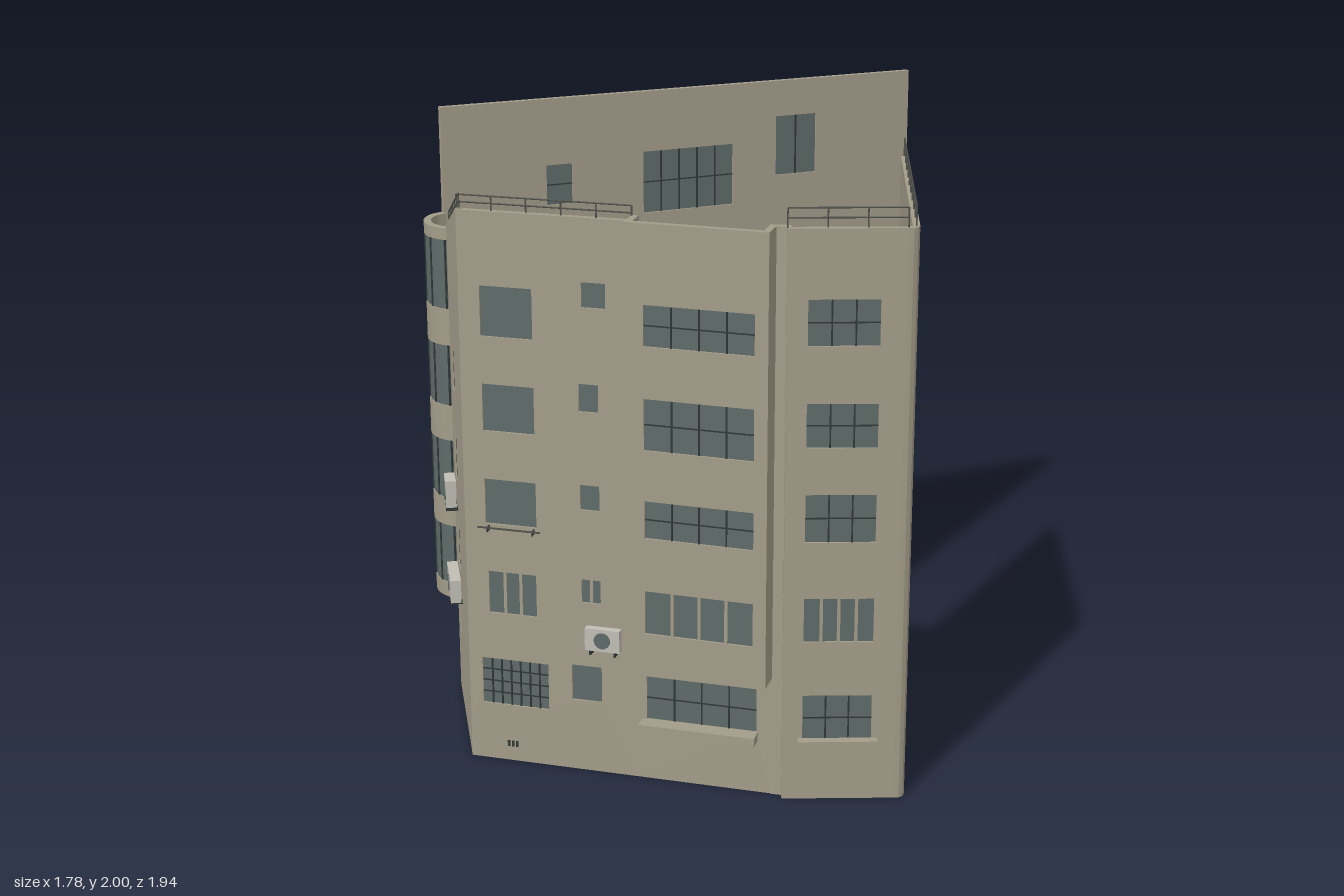
import * as THREE from 'three';

const mat = (name, color, side = THREE.FrontSide) => {
  const m = new THREE.MeshStandardMaterial({ color, side });
  m.name = name;
  return m;
};

export function createModel() {
  const M = {
    wall: mat('plaster', 0xa39c89),
    glass: mat('window glass', 0x5e6b69, THREE.DoubleSide),
    frame: mat('dark frame', 0x2f3737),
    metal: mat('railing metal', 0x50504c),
    unit: mat('unit casing', 0xc0beb4),
  };
  const root = new THREE.Group();
  root.name = 'building';
  const T = 0.022; // wall thickness

  const add = (parent, geo, m, name) => {
    const o = new THREE.Mesh(geo, m);
    o.name = name;
    parent.add(o);
    return o;
  };
  const box = (parent, m, name, x0, x1, y0, y1, z0, z1) => {
    const o = add(parent, new THREE.BoxGeometry(x1 - x0, y1 - y0, z1 - z0), m, name);
    o.position.set((x0 + x1) / 2, (y0 + y1) / 2, (z0 + z1) / 2);
    return o;
  };
  const bar = (parent, a, b, r, m, name) => {
    const d = new THREE.Vector3().subVectors(b, a);
    const o = add(parent, new THREE.CylinderGeometry(r, r, d.length(), 6), m, name);
    o.position.copy(a).addScaledVector(d, 0.5);
    o.quaternion.setFromUnitVectors(new THREE.Vector3(0, 1, 0), d.normalize());
  };

  // Wall from plan point p to q; local x runs along it, local +z points outdoors.
  // Windows: [a0, a1, y0, y1, columns, rows, wide], a measured on the given plan axis.
  function wall(name, p, q, { y0 = 0, top = 1.85, topEnd = top, windows = [], axis = 0 } = {}) {
    const g = new THREE.Group();
    g.name = name;
    const dx = q[0] - p[0], dz = q[1] - p[1], L = Math.hypot(dx, dz);
    g.position.set(p[0], 0, p[1]);
    g.rotation.y = Math.atan2(-dz, dx);
    root.add(g);
    const at = a => (a - p[axis]) / (q[axis] - p[axis]) * L;
    const shape = new THREE.Shape([[0, y0], [L, y0], [L, topEnd], [0, top]].map(v => new THREE.Vector2(...v)));
    for (const [a0, a1, b0, b1, cols = 1, rows = 1, wide = false] of windows) {
      const s0 = Math.min(at(a0), at(a1)), s1 = Math.max(at(a0), at(a1));
      shape.holes.push(new THREE.Path([[s0, b0], [s0, b1], [s1, b1], [s1, b0]].map(v => new THREE.Vector2(...v))));
      box(g, M.glass, 'windowPane', s0, s1, b0, b1, -T * 0.5 - 0.004, -T * 0.5 + 0.004);
      const w = wide ? 0.005 : 0.0025, m = wide ? M.wall : M.frame;
      for (let i = 1; i < cols; i++) {
        const s = s0 + (s1 - s0) * i / cols;
        box(g, m, 'mullion', s - w, s + w, b0, b1, -T + 0.003, -0.003);
      }
      for (let i = 1; i < rows; i++) {
        const y = b0 + (b1 - b0) * i / rows;
        box(g, m, 'transom', s0, s1, y - 0.002, y + 0.002, -T + 0.004, -0.004);
      }
    }
    const geo = new THREE.ExtrudeGeometry(shape, { depth: T, bevelEnabled: false });
    geo.translate(0, 0, -T);
    add(g, geo, M.wall, name + 'Panel');
    return { g, at, L, top, topEnd };
  }

  // Railing that follows the top edge of a wall
  function railing({ g, L, top, topEnd }, h = 0.055) {
    const pt = (t, dy) => new THREE.Vector3(L * t, top + (topEnd - top) * t + dy, -T / 2);
    const n = Math.max(2, Math.round(L / 0.11));
    for (let i = 0; i <= n; i++) bar(g, pt(i / n, 0), pt(i / n, h), 0.0025, M.metal, 'railingPost');
    for (const k of [0.5, 1]) bar(g, pt(0, h * k), pt(1, h * k), 0.0025, M.metal, 'railingBar');
  }

  // Outdoor air unit with round fan and two brackets
  function airUnit({ g }, s, y0, y1, len, depth) {
    box(g, M.unit, 'airUnit', s - len / 2, s + len / 2, y0, y1, 0.005, depth);
    const fan = add(g, new THREE.CylinderGeometry((y1 - y0) * 0.36, (y1 - y0) * 0.36, 0.004, 20), M.glass, 'airUnitFan');
    fan.rotation.x = Math.PI / 2;
    fan.position.set(s, (y0 + y1) / 2, depth + 0.001);
    for (const k of [-0.35, 0.35])
      box(g, M.frame, 'airUnitBracket', s + len * k - 0.003, s + len * k + 0.003, y0 - 0.015, y0, 0, depth);
  }

  // Tall rear wall
  const rear = wall('rearWall', [0.5, -0.97], [-0.84, 0.126], {
    top: 2, axis: 1, windows: [
      [-0.529, -0.312, 1.57, 1.788, 5, 2], [-0.513, -0.296, 1.204, 1.42, 5, 2], [-0.497, -0.28, 0.849, 1.034, 4, 2],
      [-0.481, -0.265, 0.52, 0.684, 4, 1, true], [-0.466, -0.254, 0.196, 0.355, 4, 2],
      [-0.735, -0.635, 1.66, 1.873, 2], [-0.709, -0.608, 1.257, 1.432, 2],
      [-0.688, -0.587, 0.923, 1.07, 2], [-0.661, -0.566, 0.578, 0.721, 3, 1, true],
      [-0.145, -0.085, 1.63, 1.77, 1, 2], [-0.145, -0.085, 1.25, 1.38, 1, 2], [-0.145, -0.085, 0.89, 1.03, 1, 2],
      [-0.145, -0.085, 0.55, 0.687, 2, 1, true], [-0.145, -0.085, 0.226, 0.33, 1, 2],
    ],
  });
  wall('rearWallEnd', [-0.84, 0.126], [-0.87, 0.151], { y0: 0.32, top: 2 });
  airUnit(rear, rear.at(-0.155), 0.335, 0.465, 0.25, 0.04);
  const sp = rear.at(0.075);
  bar(rear.g, new THREE.Vector3(sp, 0, 0.008), new THREE.Vector3(sp, 2, 0.008), 0.006, M.frame, 'drainPipe');

  // Left wall with sloping top
  const left = wall('leftWall', [-0.77, 0.365], [-0.53, 0.88], {
    top: 1.65, topEnd: 1.84, windows: [
      [-0.73, -0.685, 1.125, 1.273, 3, 2], [-0.73, -0.685, 0.82, 0.99, 3, 2],
      [-0.73, -0.685, 0.5, 0.67, 3, 2], [-0.73, -0.7, 0.25, 0.355, 3, 2],
    ],
  });
  railing(left, 0.045);
  airUnit(left, left.at(-0.708), 0.727, 0.82, 0.09, 0.04);
  airUnit(left, left.at(-0.685), 0.425, 0.504, 0.18, 0.04);

  // Front wall, left half
  const front = wall('frontWall', [-0.53, 0.88], [0.03, 0.88], {
    top: 1.835, windows: [
      [-0.46, -0.29, 1.438, 1.6], [-0.46, -0.29, 1.13, 1.284], [-0.46, -0.29, 0.82, 0.97],
      [-0.455, -0.295, 0.515, 0.658, 3, 1, true], [-0.485, -0.26, 0.196, 0.355, 7, 4],
      [-0.13, -0.053, 1.554, 1.634], [-0.143, -0.08, 1.22, 1.31], [-0.143, -0.08, 0.897, 0.98],
      [-0.143, -0.08, 0.584, 0.663, 2, 1, true], [-0.18, -0.08, 0.244, 0.366],
    ],
  });
  railing(front, 0.045);
  airUnit(front, front.at(-0.068), 0.435, 0.51, 0.115, 0.03);
  box(front.g, M.metal, 'clothesRail', front.at(-0.48), front.at(-0.27), 0.812, 0.817, 0.022, 0.026);
  for (const x of [-0.45, -0.3]) box(front.g, M.metal, 'clothesRailArm', front.at(x), front.at(x) + 0.004, 0.8, 0.817, 0, 0.026);
  for (let i = 0; i < 3; i++)
    box(front.g, M.frame, 'vent', 0.125 + i * 0.014, 0.133 + i * 0.014, 0.05, 0.07, 0, 0.003);

  // Projecting front bay above a recessed ground floor
  wall('bayFront', [0.03, 0.955], [0.48, 0.968], {
    y0: 0.4, windows: [
      [0.09, 0.438, 1.47, 1.6, 4, 2], [0.09, 0.438, 1.14, 1.305, 4, 2],
      [0.09, 0.438, 0.854, 0.976, 4, 2], [0.09, 0.438, 0.536, 0.679, 4, 1, true],
    ],
  });
  wall('baySide', [0.03, 0.865], [0.03, 0.955], { y0: 0.4 });
  wall('baySide', [0.48, 0.968], [0.48, 0.865], { y0: 0.4 });
  box(root, M.wall, 'bayFloor', 0.032, 0.478, 0.4, 0.415, 0.86, 0.95);
  const ground = wall('groundFloorWall', [0.03, 0.88], [0.48, 0.88], {
    top: 0.41, windows: [[0.07, 0.43, 0.207, 0.355, 4, 2]],
  });
  box(ground.g, M.wall, 'sill', 0.025, 0.405, 0.178, 0.207, 0, 0.05);
  box(root, M.wall, 'cornerStrip', 0.48, 0.525, 0, 1.85, 0.86, 0.882);

  // Front right wall, rounded corner and right wall
  const frontRight = wall('frontRightWall', [0.52, 0.905], [0.86, 0.802], {
    windows: [[1.49, 1.634], [1.17, 1.31], [0.865, 1.02], [0.536, 0.68], [0.2, 0.355]]
      .map(([a, b], i) => [0.58, 0.787, a, b, i === 3 ? 4 : 3, i === 3 ? 1 : 2, i === 3]),
  });
  railing(frontRight, 0.06);
  box(frontRight.g, M.wall, 'sill', frontRight.at(0.565), frontRight.at(0.805), 0.18, 0.21, 0, 0.03);
  const corner = [[0.86, 0.802], [0.874, 0.796], [0.884, 0.784], [0.886, 0.766]];
  for (let i = 0; i < 3; i++) wall('roundedCorner', corner[i], corner[i + 1]);
  const right = wall('rightWall', [0.886, 0.766], [0.662, -0.19], {
    axis: 1, windows: [[0.143, 0.254, 1.544, 1.613, 2], [0.117, 0.25, 1.24, 1.32, 2], [0.143, 0.275, 0.9, 0.97, 2]],
  });
  railing(right, 0.06);

  // Rounded stair bay on the left: plaster bands and glass bands
  const arc = new THREE.CatmullRomCurve3([[-0.865, 0.15], [-0.891, 0.2], [-0.887, 0.27], [-0.85, 0.335],
    [-0.79, 0.37], [-0.73, 0.365], [-0.705, 0.34]].map(([x, z]) => new THREE.Vector3(x, 0, z))).getPoints(24);
  const inset = k => arc.map(p => new THREE.Vector2(-0.775 + (p.x + 0.775) * k, -(0.25 + (p.z - 0.25) * k)));
  function band(k0, k1, y0, y1, m, name) {
    const pts = k1 === null ? [...inset(k0), new THREE.Vector2(-0.705, -0.335), new THREE.Vector2(-0.815, -0.14)]
      : [...inset(k0), ...inset(k1).reverse()];
    const geo = new THREE.ExtrudeGeometry(new THREE.Shape(pts), { depth: y1 - y0, bevelEnabled: false });
    geo.rotateX(-Math.PI / 2);
    add(root, geo, m, name).position.y = y0;
  }
  const levels = [[0.324, 0.377], [0.59, 0.69], [0.9, 1.024], [1.236, 1.363], [1.6, 1.64]];
  levels.forEach(([a, b], i) => {
    band(1, 0.78, a, b, M.wall, 'roundBayBand');
    if (i === 4) return;
    band(0.99, null, a + 0.002, a + 0.022, M.wall, 'roundBayFloor');
    const next = levels[i + 1][0];
    band(0.965, 0.92, b, next, M.glass, 'roundBayGlass');
    for (const j of [1, 5, 9, 13, 17, 21]) {
      const v = inset(0.965)[j];
      bar(root, new THREE.Vector3(v.x, b, -v.y), new THREE.Vector3(v.x, next, -v.y), 0.004, M.frame, 'roundBayMullion');
    }
    const rim = inset(0.967).slice(1, 10);
    for (const y of [b + (next - b) * 0.25, b + (next - b) * 0.75])
      for (let j = 0; j < 8; j++)
        bar(root, new THREE.Vector3(rim[j].x, y, -rim[j].y), new THREE.Vector3(rim[j + 1].x, y, -rim[j + 1].y), 0.003, M.frame, 'roundBayTransom');
  });

  // Recessed entrance under the round bay
  const entry = wall('entranceWall', [-0.84, 0.126], [-0.72, 0.36], { top: 0.34 });
  box(entry.g, M.frame, 'entranceDoor', entry.at(-0.81), entry.at(-0.768), 0.045, 0.24, 0, 0.005);
  box(entry.g, M.glass, 'doorGlass', entry.at(-0.804), entry.at(-0.774), 0.06, 0.225, 0.004, 0.008);
  return root;
}
